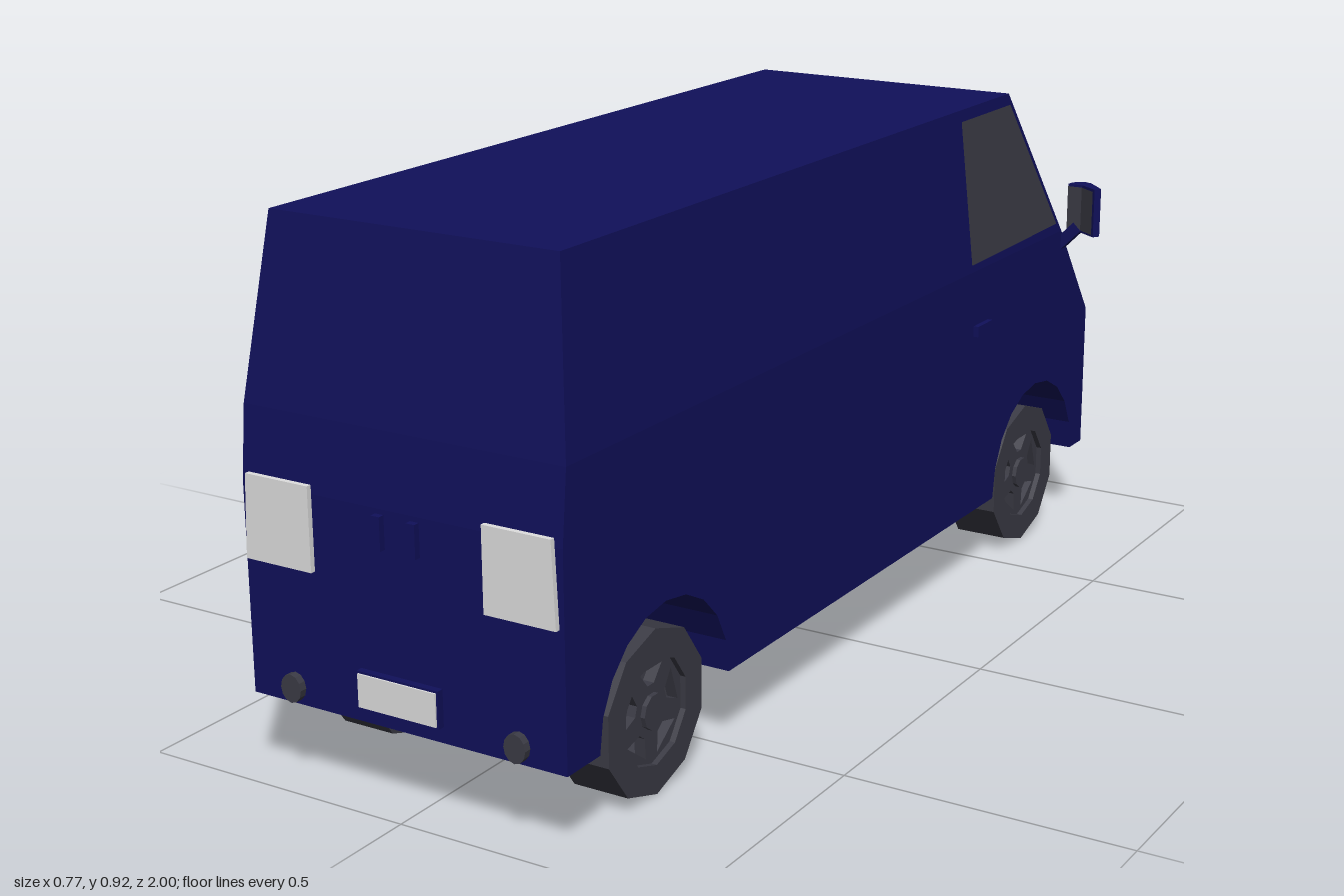
import * as THREE from 'three';

const flat = (name, color) => new THREE.MeshStandardMaterial({ name, color, flatShading: true, side: THREE.DoubleSide });

export function createModel() {
  const blue = flat('navy paint', 0x10105a);
  const grey = flat('dark grey', 0x3b3b45);
  const white = flat('light lens', 0xdedede);
  const van = new THREE.Group();
  van.name = 'van';

  const add = (name, geo, mat, parent = van) => {
    const m = new THREE.Mesh(geo, mat);
    m.name = name;
    parent.add(m);
    return m;
  };
  const box = (name, mat, w, h, d, x, y, z, parent) => {
    const m = add(name, new THREE.BoxGeometry(w, h, d), mat, parent);
    m.position.set(x, y, z);
    return m;
  };
  // Convex polygon faces, each fanned into triangles
  const faces = (list) => {
    const pos = [];
    for (const p of list)
      for (let i = 1; i < p.length - 1; i++) pos.push(...p[0], ...p[i], ...p[i + 1]);
    const g = new THREE.BufferGeometry();
    g.setAttribute('position', new THREE.Float32BufferAttribute(pos, 3));
    g.computeVertexNormals();
    return g;
  };
  // Flat outline [a, b] whose points are mapped into space by a rule
  const panel = (outline, map, flip = false) => {
    const g = new THREE.ShapeGeometry(new THREE.Shape(outline.map(([a, b]) => new THREE.Vector2(a, b))));
    const p = g.attributes.position;
    for (let i = 0; i < p.count; i++) p.setXYZ(i, ...map(p.getX(i), p.getY(i)));
    if (flip) g.index.array.reverse();
    g.computeVertexNormals();
    return g;
  };

  const W = 0.3, FLOOR = 0.145, BELT = 0.62, ROOF = 0.92, ARCH = 0.185, INNER = 0.15;
  const axles = [-0.645, 0.71];
  const halfWidth = (y) => W - Math.max(0, (y - BELT) / (ROOF - BELT)) * 0.033;
  const T = halfWidth(ROOF);

  // Half-round wheel arch as [z, y] points, front to back
  const archPoints = (z0) => Array.from({ length: 11 }, (_, i) => {
    const a = Math.PI * (1 - i / 10);
    return [z0 + ARCH * Math.cos(a), FLOOR + ARCH * Math.sin(a)];
  });

  // Body sides with arch cut-outs, arch linings and side glass
  const lower = [[-0.885, FLOOR], ...axles.flatMap(archPoints),
    [0.98, FLOOR], [0.98, 0.5], [0.968, BELT], [-0.745, BELT], [-0.885, 0.43]];
  const upper = [[-0.745, BELT], [0.968, BELT], [0.925, ROOF], [-0.55, ROOF]];
  const glass = [[-0.337, 0.635], [-0.337, 0.9], [-0.545, 0.9], [-0.715, 0.64]];
  for (const s of [1, -1]) {
    const side = s > 0 ? 'left' : 'right';
    const onSide = (off) => (z, y) => [s * (halfWidth(y) + off), y, z];
    add(side + 'LowerSide', panel(lower, onSide(0), s > 0), blue);
    add(side + 'UpperSide', panel(upper, onSide(0), s > 0), blue);
    add(side + 'SideWindow', panel(glass, onSide(0.004), s > 0), grey);
    for (const z0 of axles) {
      const a = archPoints(z0);
      const strips = a.slice(1).map((p, i) => [
        [s * W, a[i][1], a[i][0]], [s * W, p[1], p[0]],
        [s * INNER, p[1], p[0]], [s * INNER, a[i][1], a[i][0]]]);
      strips.push(a.map(([z, y]) => [s * INNER, y, z]));
      add(side + 'WheelArch', faces(strips), blue);
    }
  }

  // Floor, notched at the wheels
  const edge = [[0.15, -0.985], [W, -0.885]];
  for (const z of axles)
    edge.push([W, z - ARCH], [INNER, z - ARCH], [INNER, z + ARCH], [W, z + ARCH]);
  edge.push([W, 0.98]);
  const floorOutline = [...edge, ...edge.map(([x, z]) => [-x, z]).reverse()];
  add('floor', panel(floorOutline, (x, z) => [x, FLOOR, z]), blue);

  // Roof, tail, windscreen frame, bonnet and nose
  const span = (w1, y1, z1, w2, y2, z2) => [[-w1, y1, z1], [w1, y1, z1], [w2, y2, z2], [-w2, y2, z2]];
  add('roof', faces([span(T, ROOF, 0.925, T, ROOF, -0.55)]), blue);
  add('tail', faces([
    span(W, FLOOR, 0.98, W, 0.5, 0.98),
    span(W, 0.5, 0.98, W, BELT, 0.968),
    span(W, BELT, 0.968, T, ROOF, 0.925)]), blue);
  add('windscreenFrame', faces([span(T, ROOF, -0.55, W, BELT, -0.745)]), blue);
  add('windscreen', faces([span(0.257, 0.902, -0.566, 0.284, 0.635, -0.739)]), grey);
  add('bonnet', faces([span(W, BELT, -0.745, 0.15, 0.445, -0.985)]), blue);
  add('nose', faces([span(0.15, 0.445, -0.985, 0.15, FLOOR, -0.985)]), blue);
  for (const s of [1, -1]) {
    const corner = [
      [[s * W, BELT, -0.745], [s * W, 0.43, -0.885], [s * 0.15, 0.445, -0.985]],
      [[s * W, 0.43, -0.885], [s * W, FLOOR, -0.885], [s * 0.15, FLOOR, -0.985], [s * 0.15, 0.445, -0.985]]];
    if (s < 0) corner.forEach((f) => f.reverse());
    add('noseCorner', faces(corner), blue);
    const lamp = [[-0.893, 0.422], [-0.893, 0.335], [-0.976, 0.308], [-0.972, 0.415]]
      .map(([z, y]) => [s * (W + (z + 0.885) * 1.5 + 0.003), y, z - 0.004]);
    if (s < 0) lamp.reverse();
    add('headlamp', faces([lamp]), white);
  }

  // Grille and number plates
  box('grille', grey, 0.28, 0.16, 0.004, 0, 0.34, -0.986);
  for (let i = 0; i < 4; i++) box('grilleBar', blue, 0.28, 0.02, 0.008, 0, 0.27 + i * 0.047, -0.988);
  for (const z of [-0.99, 0.99]) {
    box('plateHolder', blue, 0.155, 0.062, 0.012, 0, 0.205, z);
    box('plate', white, 0.148, 0.055, 0.004, 0, 0.205, z + Math.sign(z) * 0.007);
  }

  // Wheel: ten-sided tyre and a five-hole rim
  const tyreGeo = new THREE.LatheGeometry(
    [[0.09, 0.05], [0.09, -0.05], [0.14, -0.05], [0.14, 0.05], [0.09, 0.05]].map(([r, y]) => new THREE.Vector2(r, y)),
    10, Math.PI / 2).rotateZ(Math.PI / 2);
  const polar = (r, a) => new THREE.Vector2(r * Math.cos(a), r * Math.sin(a));
  const rim = new THREE.Shape(Array.from({ length: 10 }, (_, i) => polar(0.092, (i * Math.PI) / 5 + Math.PI / 2)));
  for (let i = 0; i < 5; i++) {
    const a = Math.PI / 2 + (i * Math.PI * 2) / 5;
    rim.holes.push(new THREE.Path([polar(0.045, a - 0.2), polar(0.078, a - 0.42), polar(0.078, a + 0.42), polar(0.045, a + 0.2)]));
  }
  const rimGeo = new THREE.ExtrudeGeometry(rim, { depth: 0.02, bevelEnabled: false }).rotateY(Math.PI / 2);
  const hubGeo = new THREE.CylinderGeometry(0.03, 0.03, 0.01, 10).rotateZ(Math.PI / 2);
  for (const s of [1, -1])
    for (const z of axles) {
      const wheel = new THREE.Group();
      wheel.name = 'wheel';
      wheel.position.set(s * 0.23, 0.14, z);
      if (s < 0) wheel.rotation.y = Math.PI;
      add('tyre', tyreGeo, grey, wheel);
      add('rim', rimGeo, grey, wheel).position.x = 0.02;
      add('hub', hubGeo, grey, wheel).position.x = 0.043;
      van.add(wheel);
    }

  // Paired details: rear lamps, fog lamps, handles and mirrors
  const rearLamp = [[0.163, 0.375], [0.292, 0.375], [0.286, 0.515], [0.163, 0.515]];
  const mirrorPlan = [[0.31, 0.748], [0.312, 0.765], [0.332, 0.78], [0.347, 0.775], [0.385, 0.735], [0.377, 0.722], [0.34, 0.748]];
  for (const s of [1, -1]) {
    const lampShape = new THREE.Shape(rearLamp.map(([x, y]) => new THREE.Vector2(s * x, y)));
    add('rearLamp', new THREE.ExtrudeGeometry(lampShape, { depth: 0.009, bevelEnabled: false }), white).position.z = 0.981;
    const fog = add('rearFogLamp', new THREE.CylinderGeometry(0.02, 0.02, 0.016, 12).rotateX(Math.PI / 2), grey);
    fog.position.set(s * 0.214, 0.174, 0.985);
    fog.scale.y = 1.2;
    box('rearDoorHandle', blue, 0.016, 0.055, 0.014, s * 0.033, 0.464, 0.984);
    box('sideDoorHandle', blue, 0.016, 0.02, 0.06, s * 0.302, 0.505, -0.385);

    const plan = new THREE.Shape(mirrorPlan.map(([x, z]) => new THREE.Vector2(s * x, z)));
    add('mirrorShell', new THREE.ExtrudeGeometry(plan, { depth: 0.095, bevelEnabled: false }).rotateX(-Math.PI / 2), blue)
      .position.y = 0.62;
    const wall = (x, z) => [[s * x, 0.625, z], [s * x, 0.711, z]];
    const [a, b] = wall(0.311, -0.745), [c, d] = wall(0.34, -0.745), [e, f] = wall(0.374, -0.72);
    const mirrorFaces = [[a, c, d, b], [c, e, f, d]];
    if (s < 0) mirrorFaces.forEach((q) => q.reverse());
    add('mirrorGlass', faces(mirrorFaces), grey);
    box('mirrorArm', blue, 0.06, 0.022, 0.025, s * 0.312, 0.61, -0.757).rotation.z = s * 0.8;
  }
  return van;
}
